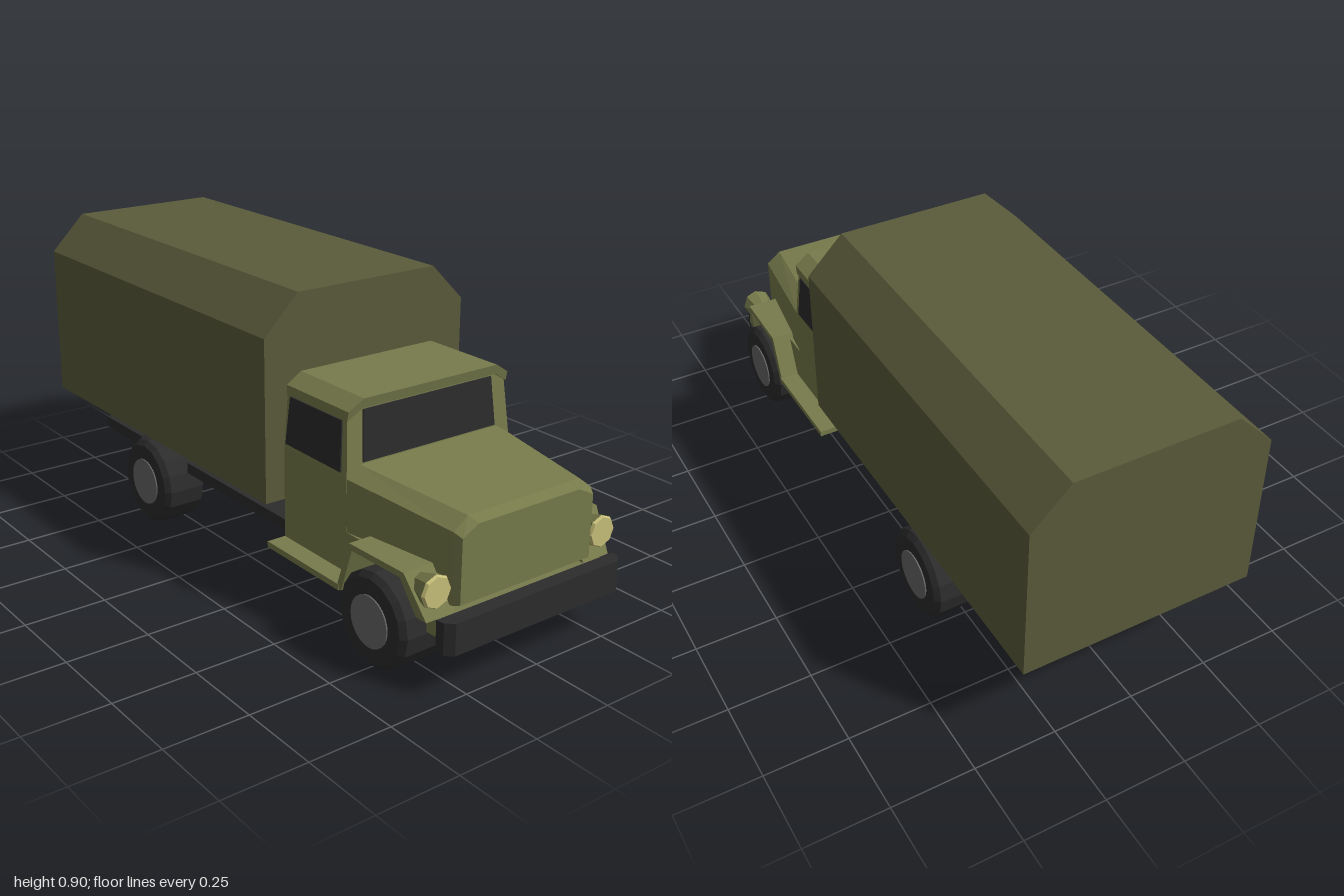
import * as THREE from 'three';

const mat = (name, color) => {
  const m = new THREE.MeshStandardMaterial({ color });
  m.name = name;
  return m;
};

// Flat-faced solid through rings of [x, y, z] points (convex ends)
function loft(rings) {
  const n = rings[0].length, last = rings.length - 1, tris = [];
  for (let r = 0; r < last; r++) {
    for (let i = 0; i < n; i++) {
      const j = (i + 1) % n;
      const a = rings[r][i], b = rings[r][j], c = rings[r + 1][j], d = rings[r + 1][i];
      tris.push([a, b, c], [a, c, d]);
    }
  }
  for (let i = 1; i < n - 1; i++) {
    tris.push([rings[0][0], rings[0][i + 1], rings[0][i]]);
    tris.push([rings[last][0], rings[last][i], rings[last][i + 1]]);
  }
  // Turn the faces outward whatever the ring order
  const v = (p) => new THREE.Vector3(...p);
  const volume = tris.reduce((s, [a, b, c]) => s + v(a).dot(v(b).cross(v(c))), 0);
  if (volume < 0) tris.forEach((t) => t.reverse());
  const g = new THREE.BufferGeometry();
  g.setAttribute('position', new THREE.Float32BufferAttribute(tris.flat(2), 3));
  g.computeVertexNormals();
  return g;
}

// Symmetric ring in the xy plane from its right half; z may depend on y
const ring = (half, z) => {
  const zAt = typeof z === 'function' ? z : () => z;
  return [
    ...half.map(([x, y]) => [x, y, zAt(y)]),
    ...half.slice().reverse().map(([x, y]) => [-x, y, zAt(y)]),
  ];
};

const flat = (g) => {
  const f = g.index ? g.toNonIndexed() : g;
  f.computeVertexNormals();
  return f;
};

const box = (x0, x1, y0, y1, z0, z1) =>
  new THREE.BoxGeometry(x1 - x0, y1 - y0, z1 - z0)
    .translate((x0 + x1) / 2, (y0 + y1) / 2, (z0 + z1) / 2);

export function createModel() {
  const truck = new THREE.Group();
  truck.name = 'truck';
  const cabGreen = mat('cab green', 0x777b4b);
  const cargoGreen = mat('cargo green', 0x5b5b3b);
  const black = mat('black', 0x2c2c2d);
  const glass = mat('dark glass', 0x2b2b2d);
  const grey = mat('hub grey', 0x666666);
  const lampYellow = mat('lamp yellow', 0xc8c07a);

  const add = (name, geometry, material, parent = truck) => {
    const m = new THREE.Mesh(geometry, material);
    m.name = name;
    parent.add(m);
    return m;
  };

  // Cargo body with chamfered roof edges
  const cargo = [[0.36, 0.295], [0.36, 0.785], [0.245, 0.9]];
  add('cargoBody', loft([ring(cargo, -1), ring(cargo, 0.265)]), cargoGreen);

  // Chassis: floor plate with wheel gaps, rails and rear crossmember
  add('chassisPlate', box(-0.22, 0.22, 0.195, 0.23, -0.8, 0.265), black);
  for (const s of [-1, 1]) {
    for (const [z0, z1] of [[-0.27, 0.265], [-0.8, -0.56]]) {
      add('chassisSide', box(-0.04, 0.04, 0.195, 0.23, z0, z1).translate(s * 0.255, 0, 0), black);
    }
    add('chassisRail', box(-0.015, 0.015, 0.23, 0.296, -0.87, 0.265).translate(s * 0.125, 0, 0), black);
  }
  add('rearCrossmember', box(-0.11, 0.11, 0.23, 0.296, -0.87, -0.845), black);

  // Lower cab, a side profile in (z, y) pulled across the width
  const side = [[0.268, 0.165], [0.6, 0.165], [0.65, 0.3], [0.555, 0.3], [0.555, 0.455], [0.268, 0.455]];
  const lowerCab = new THREE.ExtrudeGeometry(
    new THREE.Shape(side.map(([z, y]) => new THREE.Vector2(-z, y))),
    { depth: 0.594, bevelEnabled: false },
  ).translate(0, 0, -0.297).rotateY(Math.PI / 2);
  add('lowerCab', lowerCab, cabGreen);
  add('runningBoards', box(-0.358, 0.358, 0.162, 0.18, 0.268, 0.6), cabGreen);

  // Cabin with a leaning front
  const lean = (y) => 0.555 - 0.1 * (y - 0.455);
  const cabin = [[0.297, 0.455], [0.284, 0.62], [0.24, 0.65]];
  add('cabin', loft([ring(cabin, 0.268), ring(cabin, lean)]), cabGreen);

  // Roof cap with a forward visor
  const roofHalf = [[0.24, 0.643], [0.288, 0.613], [0.288, 0.641], [0.24, 0.672]];
  const roofShape = new THREE.Shape(ring(roofHalf, 0).map(([x, y]) => new THREE.Vector2(x, y)));
  const roof = new THREE.ExtrudeGeometry(roofShape, { depth: 0.285, bevelEnabled: false });
  const rp = roof.attributes.position;
  for (let i = 0; i < rp.count; i++) {
    if (rp.getZ(i) > 0.1) rp.setZ(i, 0.285 - (0.672 - rp.getY(i)) * 0.2);
  }
  add('roof', flat(roof.translate(0, 0, 0.27)), cabGreen);

  // Windows as thin plates
  const screen = [[0.241, 0.49], [0.232, 0.635]];
  add('windscreen', loft([ring(screen, lean), ring(screen, (y) => lean(y) + 0.004)]), glass);
  const pane = [[0.53, 0.467], [0.52, 0.61], [0.285, 0.61], [0.277, 0.47]];
  for (const s of [-1, 1]) {
    const layer = (out) => pane.map(([z, y]) => [s * (0.297 - 0.0788 * (y - 0.455) + out), y, z]);
    add('sideWindow', loft([layer(-0.002), layer(0.004)]), glass);
  }

  // Tapering bonnet and the front panel
  add('bonnet', loft([
    ring([[0.297, 0.295], [0.297, 0.455], [0.25, 0.485]], 0.55),
    ring([[0.246, 0.295], [0.246, 0.425], [0.2, 0.46]], 0.925),
  ]), cabGreen);
  add('frontPanel', loft([
    ring([[0.246, 0.22], [0.246, 0.425], [0.2, 0.46]], 0.9),
    ring([[0.246, 0.22], [0.246, 0.425], [0.2, 0.46]], 0.925),
    ring([[0.235, 0.225], [0.235, 0.412], [0.18, 0.44]], 0.947),
  ]), cabGreen);

  // Bumper with cut corners, and its apron
  add('bumper', loft([0.125, 0.217].map((y) =>
    [[0.322, 0.955], [0.318, 0.98], [0.295, 1], [-0.295, 1], [-0.318, 0.98], [-0.322, 0.955]]
      .map(([x, z]) => [x, y, z]))), black);
  add('apron', box(-0.3, 0.3, 0.15, 0.2, 0.895, 0.957), cabGreen);

  // Fenders: outer and inner (z, y) of the arch, with the outer x
  const arch = [
    [[0.588, 0.165], [0.61, 0.165], 0.356],
    [[0.643, 0.318], [0.655, 0.3], 0.356],
    [[0.86, 0.318], [0.846, 0.3], 0.352],
    [[0.93, 0.2], [0.89, 0.2], 0.333],
  ];
  for (const s of [-1, 1]) {
    add('fender', loft(arch.map(([[zo, yo], [zi, yi], x]) => [
      [s * x, yo, zo], [s * x, yi, zi], [s * 0.235, yi, zi], [s * 0.235, yo, zo],
    ])), cabGreen);

    // Headlamps
    const housing = new THREE.CylinderGeometry(0.049, 0.028, 0.07, 8).rotateX(Math.PI / 2);
    add('headlampHousing', flat(housing.translate(s * 0.3, 0.277, 0.89)), cabGreen);
    const lens = new THREE.CylinderGeometry(0.044, 0.048, 0.009, 8).rotateX(Math.PI / 2);
    add('headlampLens', flat(lens.translate(s * 0.3, 0.277, 0.929)), lampYellow);
  }

  // Wheels and axles
  const tyreProfile = [[0, -0.07], [0.125, -0.07], [0.138, -0.058], [0.138, 0.055], [0.122, 0.07], [0, 0.07]]
    .map(([r, y]) => new THREE.Vector2(r, y));
  const tyre = flat(new THREE.LatheGeometry(tyreProfile, 16).rotateZ(-Math.PI / 2));
  const hub = new THREE.CylinderGeometry(0.075, 0.075, 0.006, 24).rotateZ(-Math.PI / 2).translate(0.071, 0, 0);
  const axle = new THREE.CylinderGeometry(0.016, 0.016, 0.48, 10).rotateZ(Math.PI / 2);
  for (const [label, z] of [['front', 0.75], ['rear', -0.41]]) {
    add(label + 'Axle', axle, grey).position.set(0, 0.14, z);
    for (const s of [-1, 1]) {
      const wheel = new THREE.Group();
      wheel.name = label + 'Wheel';
      add('tyre', tyre, black, wheel);
      add('hub', hub, grey, wheel);
      wheel.position.set(s * 0.3, 0.138, z);
      if (s < 0) wheel.rotation.y = Math.PI;
      truck.add(wheel);
    }
  }
  return truck;
}
